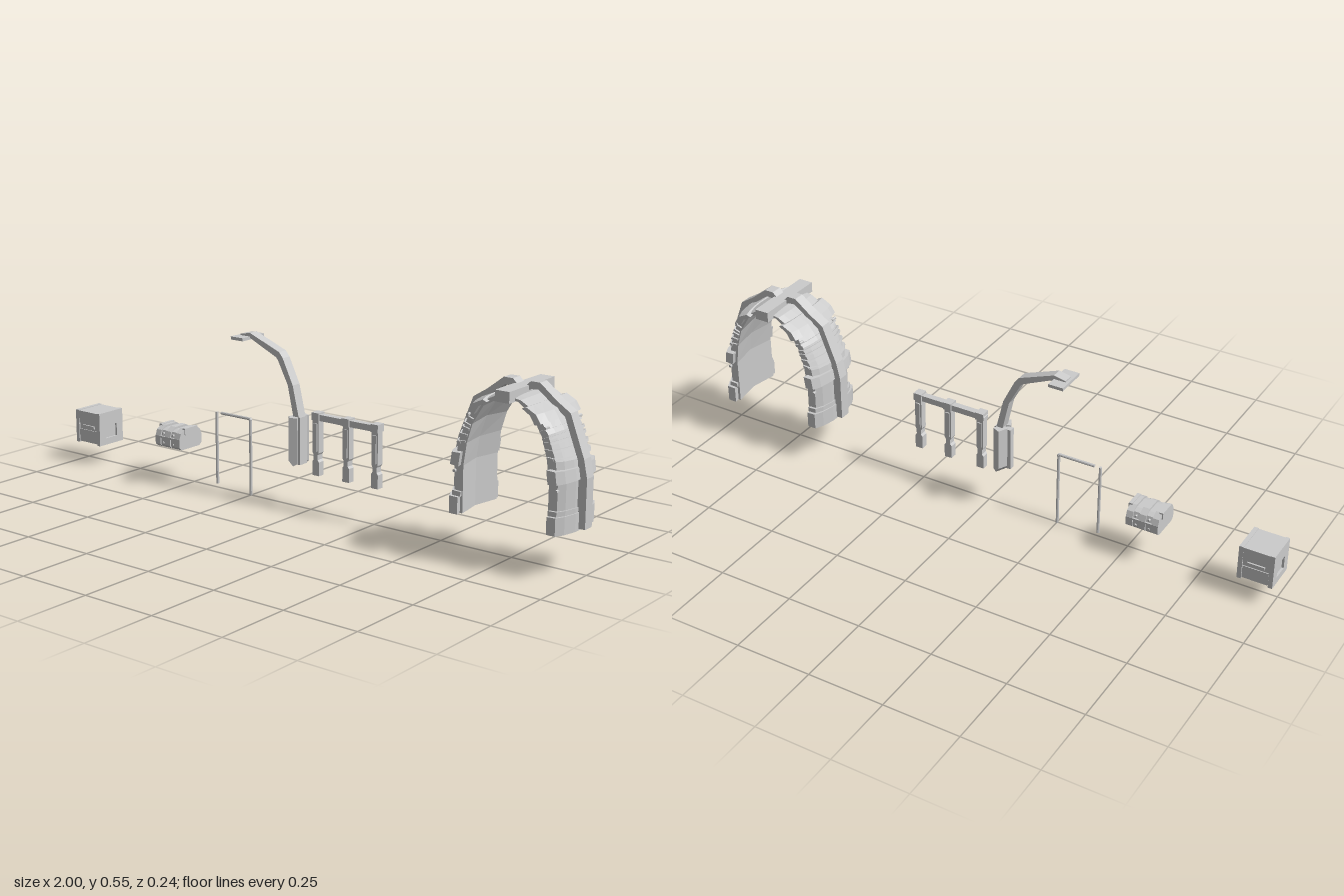
import * as THREE from 'three';

const mat = new THREE.MeshStandardMaterial({ color: 0xcccccc, flatShading: true, side: THREE.DoubleSide });

function add(group, name, geo, x = 0, y = 0, z = 0) {
  const m = new THREE.Mesh(geo, mat);
  m.name = name;
  m.position.set(x, y, z);
  group.add(m);
  return m;
}
function box(group, name, x0, x1, y0, y1, z0, z1) {
  return add(group, name, new THREE.BoxGeometry(x1 - x0, y1 - y0, z1 - z0), (x0 + x1) / 2, (y0 + y1) / 2, (z0 + z1) / 2);
}
// 2D outline extruded and centred on z = 0
function slab(points, depth, hole) {
  const s = new THREE.Shape(points.map(p => new THREE.Vector2(...p)));
  if (hole) s.holes.push(new THREE.Path(hole.map(p => new THREE.Vector2(...p))));
  return new THREE.ExtrudeGeometry(s, { depth, bevelEnabled: false }).translate(0, 0, -depth / 2);
}
function part(root, name) {
  const g = new THREE.Group();
  g.name = name;
  root.add(g);
  return g;
}

// Half of the arch shell, foot to crown: inner x, inner y, outer x, outer y
const half = [
  [.143, .135, .195, .135], [.143, .28, .195, .285], [.133, .35, .185, .345], [.115, .41, .152, .425],
  [.08, .468, .115, .478], [.033, .498, .05, .508], [0, .502, 0, .515],
];
const nodes = [...half, ...half.slice(0, -1).reverse().map(([a, b, c, d]) => [-a, b, -c, d])];

function nodeAt(u) {
  const i = Math.min(Math.floor(u), nodes.length - 2), f = u - i;
  return nodes[i].map((v, k) => v + (nodes[i + 1][k] - v) * f);
}

// Stretch of curved shell from u0 to u1: half width h, grown outward by g
function shell(u0, u1, h, g = 0) {
  const us = [u0];
  for (let i = Math.floor(u0) + 1; i < u1; i++) us.push(i);
  us.push(u1);
  const side = [[h, g], [h, .55 + g], [h * .75, .82 + g], [h * .35, 1 + g]];
  const ring = [[0, .3 + g], ...side, ...side.slice().reverse().map(([z, t]) => [-z, t])];
  const n = ring.length, pos = [], idx = [];
  for (const u of us) {
    const [ix, iy, ox, oy] = nodeAt(u);
    for (const [z, t] of ring) pos.push(ix + (ox - ix) * t, iy + (oy - iy) * t, z);
  }
  for (let i = 0; i < us.length - 1; i++)
    for (let j = 0; j < n; j++) {
      const a = i * n + j, b = i * n + (j + 1) % n;
      idx.push(a, b, b + n, a, b + n, a + n);
    }
  const last = (us.length - 1) * n;
  for (let j = 1; j < n - 1; j++) idx.push(0, j + 1, j, last, last + j, last + j + 1);
  const geo = new THREE.BufferGeometry();
  geo.setAttribute('position', new THREE.Float32BufferAttribute(pos, 3));
  geo.setIndex(idx);
  geo.computeVertexNormals();
  return geo;
}

function buildArch(root) {
  const g = part(root, 'arch');
  g.position.x = .778;
  add(g, 'archShell', shell(0, 12, .092));
  // collars and ridges: start, end, half width, growth
  const bands = [
    ['footCollar', 0, .36, .11, .12], ['footStep', .36, .46, .1, .06], ['waistCollar', 1, 1.6, .11, .12],
    ['shoulderCollar', 3.55, 4.55, .11, .15],
    ...[2.05, 2.38, 2.68, 2.87, 3.2].map(u => ['ridge', u - .05, u + .05, .098, .07]),
  ];
  for (const [name, a, b, h, grow] of bands) {
    add(g, name, shell(a, b, h, grow));
    add(g, name, shell(12 - b, 12 - a, h, grow));
  }
  box(g, 'crownBlock', -.024, .024, .496, .53, -.122, .122);
  // central rib standing off the shell
  const outer = [[.222, .14], [.222, .29], [.21, .345], [.162, .47], [.115, .5], [.06, .543], [.03, .543], [.012, .526]];
  const inner = [[.01, .508], [.03, .52], [.055, .522], [.107, .484], [.144, .458], [.19, .34], [.195, .285], [.19, .14]];
  const mirror = pts => pts.map(([x, y]) => [-x, y]).reverse();
  add(g, 'centralRib', slab([...outer, ...mirror(outer), ...mirror(inner), ...inner], .038));
  // short pegs on the edges of each leg
  for (const s of [-1, 1])
    for (const z of [-1, 1])
      for (const [x, y] of [[.17, .262], [.155, .35], [.128, .437], [.1, .46]])
        add(g, 'peg', new THREE.CylinderGeometry(.005, .005, .02, 6).rotateX(Math.PI / 2), s * x, y, z * .09);
}

function buildRailing(root) {
  const g = part(root, 'railing');
  add(g, 'topBeam', slab([[.012, .3], [.27, .3], [.27, .312], [.263, .32], [.02, .32], [.012, .312]], .022));
  for (const x of [.028, .147, .258]) {
    const post = [[-.013, .12], [.013, .12], [.013, .165], [.008, .172], [.008, .188], [.012, .195], [.012, .302]];
    const outline = [...post.slice(1), ...post.slice(1).reverse().map(([a, b]) => [-a, b])];
    add(g, 'post', slab(outline, .024), x);
    box(g, 'postPlate', x - .007, x + .007, .2, .29, -.016, .016);
    box(g, 'beamClamp', x - .014, x + .014, .3, .325, -.016, .016);
  }
}

function buildLamp(root) {
  const g = part(root, 'streetLamp');
  const arm = [[-.04, .15], [-.036, .3], [-.06, .4], [-.1, .482], [-.115, .5], [-.235, .546], [-.275, .538],
    [-.275, .53], [-.235, .53], [-.128, .482], [-.12, .474], [-.08, .398], [-.058, .3], [-.062, .15]];
  add(g, 'arm', slab(arm, .034));
  box(g, 'lampHead', -.285, -.235, .524, .534, -.052, .052);
  // splayed plates around the post
  for (const s of [-1, 1]) {
    const plate = slab([[-.014, .16], [0, .142], [.014, .15], [.014, .3], [-.014, .3]], .034);
    add(g, 'basePlate', plate, -.052, 0, s * .02).rotation.y = s * .45;
  }
  box(g, 'baseSpine', -.083, -.06, .15, .295, -.01, .01);
  box(g, 'baseCollar', -.048, -.03, .145, .3, -.018, .018);
}

function buildPipes(root) {
  const g = part(root, 'pipes');
  const pipe = (name, len) => add(g, name, new THREE.CylinderGeometry(.005, .005, len, 8));
  pipe('leftPipe', .245).position.set(-.395, .136, 0);
  const top = pipe('topPipe', .125);
  top.rotation.z = Math.PI / 2;
  top.position.set(-.312, .257, 0);
  pipe('rightPipe', .252).position.set(-.25, .126, 0);
  add(g, 'elbow', new THREE.SphereGeometry(.006, 8, 6), -.25, .254);
}

function buildChest(root) {
  const g = part(root, 'chest');
  const profile = k => [[-.044, .115], [.044, .115], [.05 * k, .125], [.05 * k, .152], [.043 * k, .172], [.025, .178 + (k - 1) * .07],
    [-.025, .178 + (k - 1) * .07], [-.043 * k, .172], [-.05 * k, .152], [-.05 * k, .125]];
  const along = (name, k, w, x) => add(g, name, slab(profile(k), w), x).rotation.y = Math.PI / 2;
  along('chestBody', 1, .094, -.568);
  for (const x of [-.611, -.568, -.525]) along('strap', 1.1, .022, x);
  for (const s of [-1, 1]) {
    box(g, 'seam', -.62, -.516, .147, .153, s * .052 - .003, s * .052 + .003);
    for (const y of [.13, .162])
      for (const x of [-.59, -.546])
        add(g, 'stud', new THREE.CylinderGeometry(.004, .004, .008, 6).rotateX(Math.PI / 2), x, y, s * .05);
    box(g, 'cornerCap', -.568 + s * .052 - .006, -.568 + s * .052 + .006, .165, .187, -.03, .03);
  }
}

function buildCrate(root) {
  const g = part(root, 'crate');
  const cx = -.943;
  box(g, 'crateBody', cx - .05, cx + .05, .07, .172, -.051, .051);
  box(g, 'lid', cx - .046, cx + .046, .137, .18, -.055, .055);
  // end frames with recessed panels
  const sq = (a, y0, y1) => [[-a, y0], [a, y0], [a, y1], [-a, y1]];
  for (const s of [-1, 1]) {
    add(g, 'endFrame', slab(sq(.056, .067, .182), .014, sq(.027, .09, .135)), cx + s * .05).rotation.y = Math.PI / 2;
    for (const z of [-1, 1])
      box(g, 'endBracket', cx + s * .053 - .004, cx + s * .053 + .004, .09, .12, z * .04 - .012, z * .04 + .012);
    box(g, 'handle', cx - .028, cx + .028, .122, .132, s * .052 - .004, s * .052 + .004);
    box(g, 'lowerPanel', cx - .042, cx + .042, .072, .115, s * .05 - .004, s * .05 + .004);
  }
}

export function createModel() {
  const root = new THREE.Group();
  root.name = 'propSet';
  for (const build of [buildCrate, buildChest, buildPipes, buildLamp, buildRailing, buildArch]) build(root);
  return root;
}
